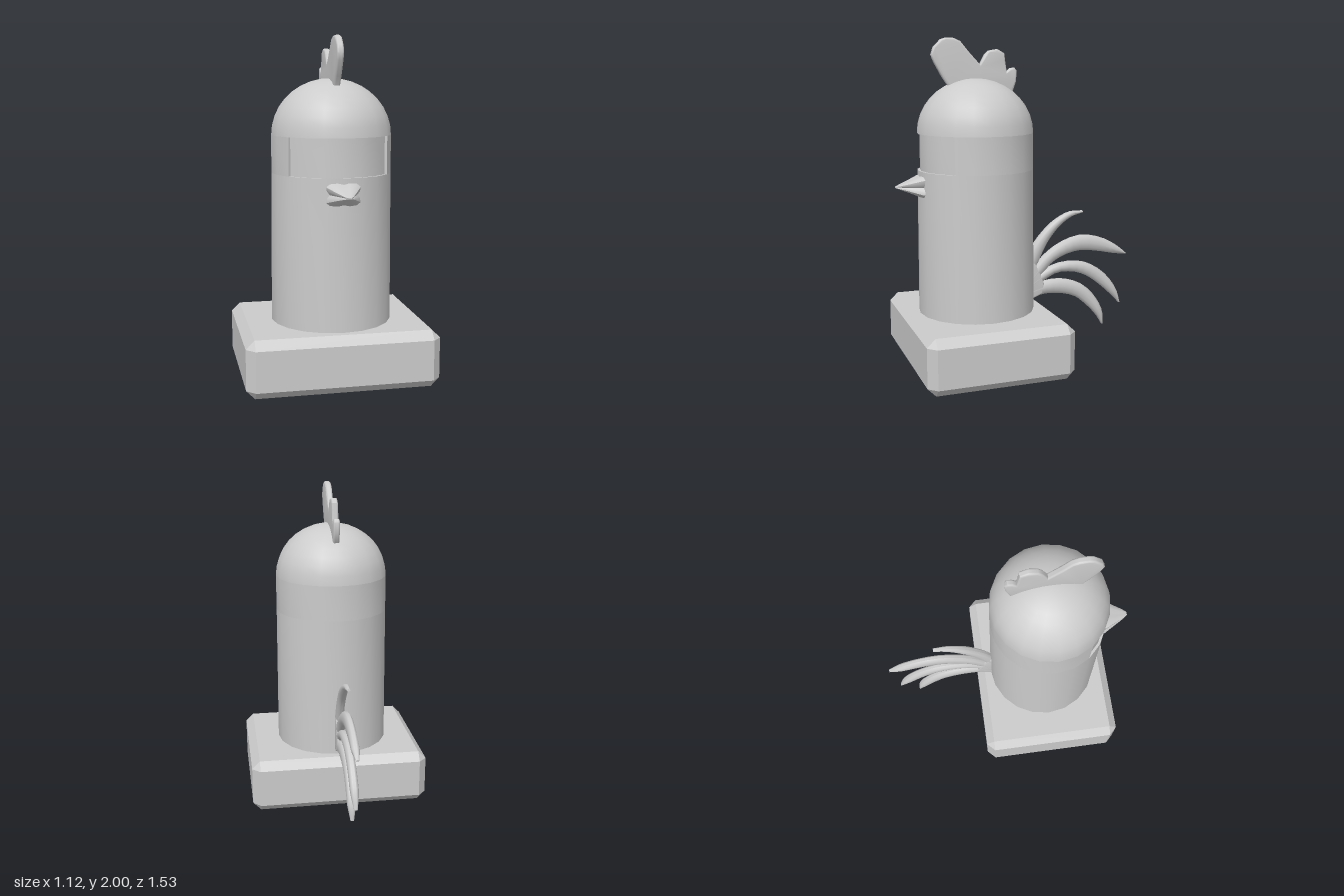
import * as THREE from 'three';
import { toCreasedNormals } from 'three/addons/utils/BufferGeometryUtils.js';
import { ConvexGeometry } from 'three/addons/geometries/ConvexGeometry.js';

const V2 = (p) => new THREE.Vector2(p[0], p[1]);
const SIDES = 20;
const BODY_Z = 0.27;
const VISOR = THREE.MathUtils.degToRad(54); // half angle of the visor slot

export function createModel() {
  const model = new THREE.Group();
  const mat = new THREE.MeshStandardMaterial({ color: 0xcccccc });
  const matDouble = new THREE.MeshStandardMaterial({ color: 0xcccccc, side: THREE.DoubleSide });

  const add = (name, geo, parent = model, material = mat) => {
    const mesh = new THREE.Mesh(geo, material);
    mesh.name = name;
    parent.add(mesh);
    return mesh;
  };

  // Skin over a row of closed rings, capped at both ends
  const loft = (rings, crease) => {
    const n = rings[0].length, idx = [];
    for (let i = 0; i < rings.length - 1; i++) {
      for (let j = 0; j < n; j++) {
        const a = i * n + j, b = i * n + (j + 1) % n;
        idx.push(a, b, b + n, a, b + n, a + n);
      }
    }
    const end = (rings.length - 1) * n;
    for (let j = 1; j < n - 1; j++) idx.push(0, j + 1, j, end, end + j, end + j + 1);
    const geo = new THREE.BufferGeometry().setFromPoints(rings.flat());
    geo.setIndex(idx);
    return toCreasedNormals(geo, crease);
  };

  // Flat plate drawn in (z, y) with softened rims, centred on x = 0
  const plate = (outline, half, bevel) => {
    const geo = new THREE.ExtrudeGeometry(new THREE.Shape(outline.map(V2)), {
      depth: 2 * (half - bevel), bevelEnabled: true, bevelSize: bevel,
      bevelThickness: bevel, bevelOffset: -bevel, bevelSegments: 3,
    });
    geo.translate(0, 0, -(half - bevel));
    geo.rotateY(-Math.PI / 2);
    return toCreasedNormals(geo, 0.75);
  };

  // Chamfered base block
  const [hx, hy, hz, c] = [0.56, 0.1685, 0.448, 0.05];
  const corners = [];
  for (const sx of [-1, 1]) for (const sy of [-1, 1]) for (const sz of [-1, 1]) {
    corners.push(
      new THREE.Vector3(sx * hx, sy * (hy - c), sz * (hz - c)),
      new THREE.Vector3(sx * (hx - c), sy * hy, sz * (hz - c)),
      new THREE.Vector3(sx * (hx - c), sy * (hy - c), sz * hz));
  }
  add('base', new ConvexGeometry(corners)).position.set(0, hy, 0.268);

  // Domed body, split around the visor slot
  const body = new THREE.Group();
  body.name = 'body';
  body.position.z = BODY_Z;
  model.add(body);
  const lathe = (name, pts, segs = SIDES, start = 0, len = Math.PI * 2) =>
    add(name, toCreasedNormals(new THREE.LatheGeometry(pts.map(V2), segs, start, len), 0.6), body);

  const [y0, y1, rIn, rOut] = [1.215, 1.435, 0.338, 0.353];
  lathe('lowerBody', [[0, 0.33], [0.358, 0.33], [rOut, y0]]);
  const dome = [];
  for (let i = 0; i <= 9; i++) {
    const a = (i / 9) * Math.PI / 2;
    dome.push([i === 9 ? 0 : rOut * Math.cos(a), y1 + 0.327 * Math.sin(a)]);
  }
  lathe('dome', dome);
  lathe('headBack', [[rOut, y0], [rOut, y1]], SIDES - 6, VISOR, Math.PI * 2 - 2 * VISOR);
  lathe('visor', [[rOut, y0], [rIn, y0], [rIn, y1], [rOut, y1]], 6, -VISOR, 2 * VISOR);
  for (const s of [-1, 1]) {
    const wall = add('visorEnd', new THREE.PlaneGeometry(rOut - rIn, y1 - y0), body, matDouble);
    const r = (rIn + rOut) / 2;
    wall.position.set(r * Math.sin(s * VISOR), (y0 + y1) / 2, r * Math.cos(VISOR));
    wall.rotation.y = s * VISOR - Math.PI / 2;
  }

  // Beak halves, each tapering from the face to the tip
  const beakSection = [[-0.075, 0], [0.075, 0], [0.092, 0.02], [0.095, 0.045],
    [0.075, 0.062], [0.035, 0.068], [0, 0.062], [-0.035, 0.068], [-0.075, 0.062], [-0.095, 0.045], [-0.092, 0.02]];
  for (const [name, s] of [['upperBeak', 1], ['lowerBeak', -1]]) {
    const stations = [[0.59, 1.05, 1.05], [0.62, 1, 0.94], [0.69, 0.6, 0.5], [0.745, 0.29, 0.19], [0.768, 0.1, 0.06]];
    const rings = stations.map(([z, w, h]) => {
      const ring = beakSection.map(([x, y]) => new THREE.Vector3(x * w, 1.123 + s * y * h, z));
      return s > 0 ? ring : ring.reverse();
    });
    add(name, loft(rings, 0.7));
  }

  // Three-lobed comb
  add('comb', plate([
    [0.42, 1.65], [0.44, 1.72], [0.475, 1.77], [0.525, 1.86], [0.54, 1.9], [0.525, 1.945],
    [0.48, 1.99], [0.45, 2], [0.4, 1.998], [0.36, 1.98], [0.31, 1.92], [0.24, 1.845], [0.21, 1.9],
    [0.185, 1.925], [0.13, 1.935], [0.085, 1.91], [0.08, 1.87], [0.07, 1.8], [0.05, 1.82],
    [0.02, 1.825], [0.005, 1.805], [0.01, 1.74], [0.035, 1.67], [0.1, 1.62], [0.3, 1.6],
  ].reverse(), 0.02, 0.012));

  // Tail: a root and four curved feathers; each point is [half thickness, y, z]
  const tail = new THREE.Group();
  tail.name = 'tail';
  model.add(tail);
  add('tailRoot', plate([
    [-0.04, 0.36], [-0.1, 0.36], [-0.17, 0.39], [-0.18, 0.45], [-0.165, 0.5], [-0.125, 0.58], [-0.09, 0.63], [-0.04, 0.64],
  ].reverse(), 0.026, 0.012), tail);

  const feathers = [
    [[0.045, 0.54, -0.07], [0.044, 0.67, -0.13], [0.036, 0.76, -0.19], [0.028, 0.84, -0.27], [0.019, 0.892, -0.36], [0.007, 0.906, -0.45]],
    [[0.04, 0.47, -0.08], [0.04, 0.55, -0.15], [0.04, 0.62, -0.22], [0.046, 0.675, -0.32], [0.052, 0.702, -0.44],
      [0.048, 0.682, -0.57], [0.031, 0.642, -0.68], [0.005, 0.605, -0.765]],
    [[0.04, 0.44, -0.08], [0.032, 0.5, -0.17], [0.031, 0.545, -0.27], [0.038, 0.547, -0.4], [0.042, 0.513, -0.5],
      [0.04, 0.44, -0.6], [0.026, 0.35, -0.68], [0.005, 0.275, -0.724]],
    [[0.04, 0.4, -0.08], [0.044, 0.425, -0.18], [0.05, 0.425, -0.3], [0.048, 0.387, -0.42], [0.042, 0.31, -0.51],
      [0.027, 0.22, -0.575], [0.006, 0.14, -0.602]],
  ];
  const STEPS = 16, AROUND = 10;
  for (const pts of feathers) {
    const curve = new THREE.CatmullRomCurve3(pts.map((p) => new THREE.Vector3(...p)));
    const rings = [];
    for (let i = 0; i <= STEPS; i++) {
      const p = curve.getPoint(i / STEPS);
      const t = curve.getTangent(i / STEPS).setX(0).normalize();
      const h = p.x, w = 0.027 * Math.min(1, 0.25 + h * 25);
      const ring = [];
      for (let j = 0; j < AROUND; j++) {
        const a = (j / AROUND) * Math.PI * 2, v = h * Math.sin(a);
        ring.push(new THREE.Vector3(w * Math.cos(a), p.y + t.z * v, p.z - t.y * v));
      }
      rings.push(ring);
    }
    add('tailFeather', loft(rings, 1.2), tail);
  }

  return model;
}
